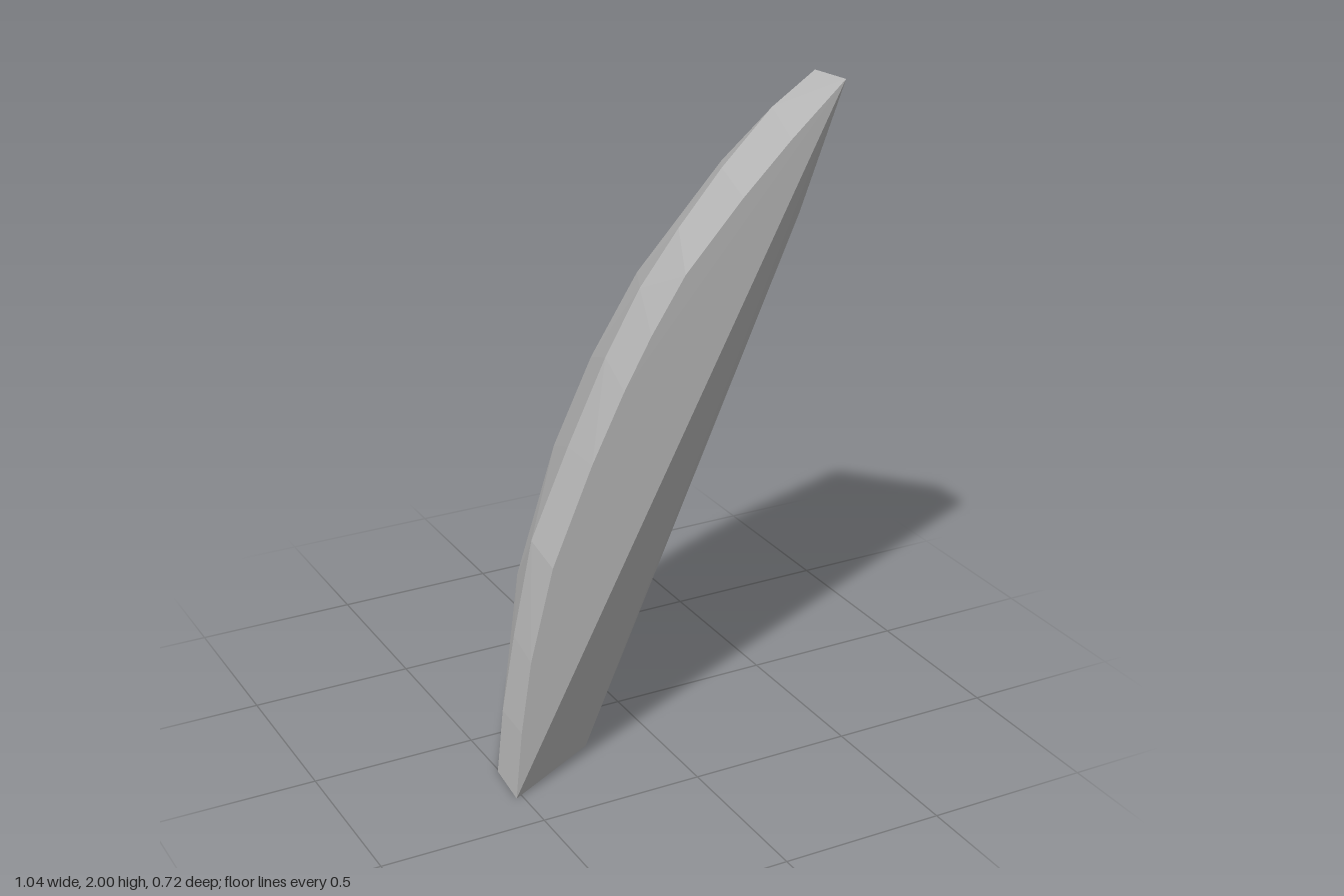
import * as THREE from 'three';
import { ConvexGeometry } from 'three/addons/geometries/ConvexGeometry.js';

export function createModel() {
  const group = new THREE.Group();
  const stone = new THREE.MeshStandardMaterial({ color: 0xb8b8b8, flatShading: true });
  stone.name = 'grey stone';
  const v = (x, y, z) => new THREE.Vector3(x, y, z);

  // curved outer rim of the flat front face: x, y at z = 0.36
  const frontRim = [
    [-0.52, 0], [-0.5, 0.21], [-0.467, 0.43], [-0.395, 0.71], [-0.27, 1.0], [-0.17, 1.2],
    [-0.085, 1.35], [0.02, 1.51], [0.2, 1.705], [0.35, 1.85], [0.52, 2],
  ].map(([x, y]) => v(x, y, 0.36));

  // ridge where the outer surface starts to slope towards the back
  const ridge = [
    [-0.505, 0, 0.2], [-0.485, 0.2, 0.2], [-0.44, 0.43, 0.19], [-0.37, 0.71, 0.17], [-0.25, 0.98, 0.17],
    [-0.13, 1.23, 0.17], [-0.02, 1.42, 0.17], [0.1, 1.58, 0.175], [0.24, 1.735, 0.17],
    [0.4, 1.89, 0.17], [0.52, 1.99, 0.2],
  ].map((p) => v(...p));

  // back edge of the outer surface
  const backRim = [
    [-0.235, 0, -0.27], [-0.185, 0.17, -0.325], [-0.185, 0.34, -0.325], [-0.05, 0.75, -0.33],
    [0.08, 1.02, -0.33], [0.236, 1.27, -0.325], [0.52, 1.59, -0.31],
  ].map((p) => v(...p));

  // bulge of the back and corners of the straight underside
  const backBulge = [v(-0.05, 0.42, -0.36), v(0.22, 1.08, -0.36)];
  const underside = [v(-0.21, 0, 0.19), v(-0.05, 0, -0.29), v(0.52, 1.35, -0.31), v(0.52, 1.55, 0.14)];

  const block = new THREE.Mesh(
    new ConvexGeometry([...frontRim, ...ridge, ...backRim, ...backBulge, ...underside]), stone);
  block.name = 'curvedStoneBlock';
  group.add(block);
  return group;
}
